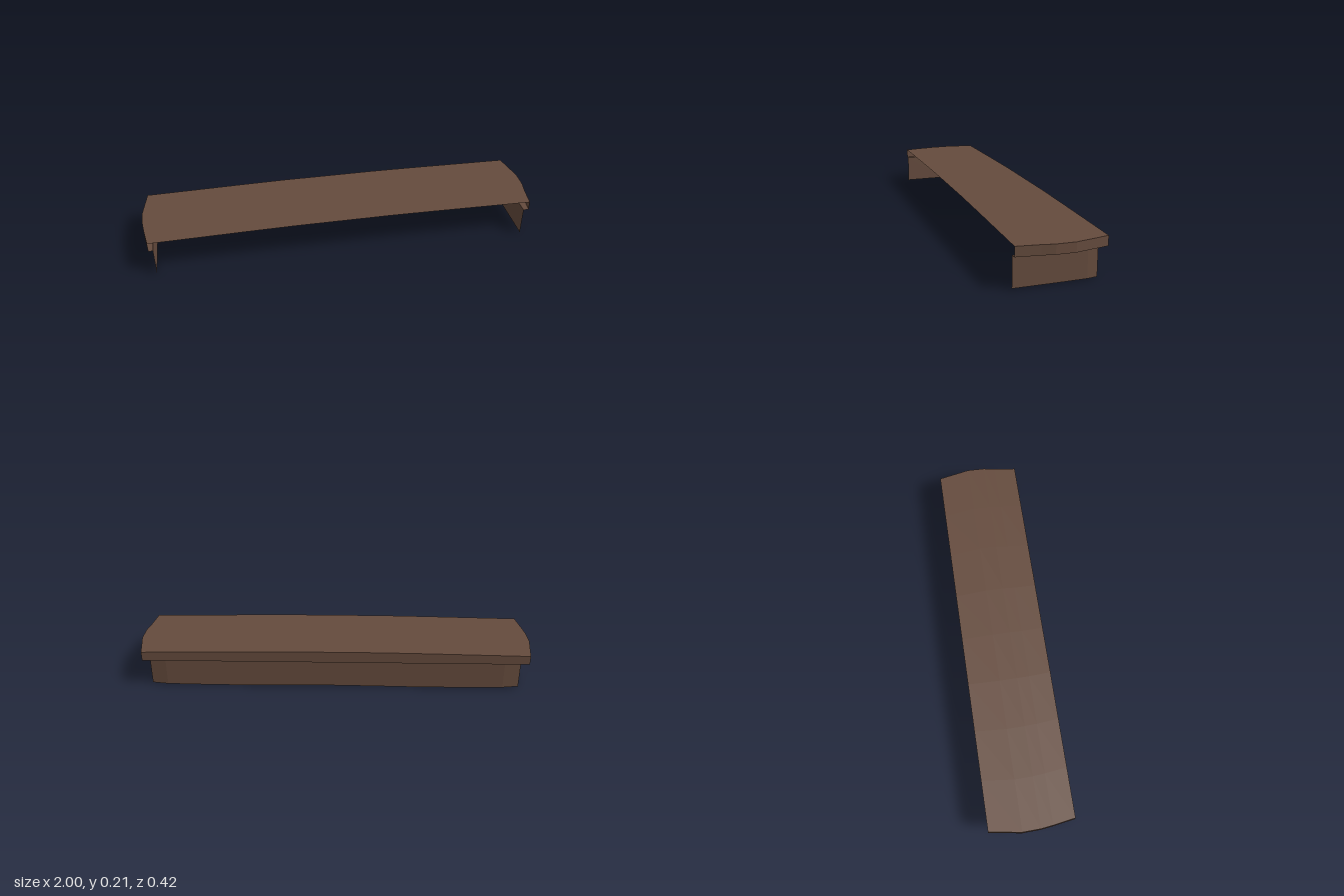
import * as THREE from 'three';

// Flat-shaded sheet spanning rows of [x, y, z] points
function sheet(rows) {
  const pos = [];
  for (let r = 0; r < rows.length - 1; r++) {
    for (let c = 0; c < rows[r].length - 1; c++) {
      const a = rows[r][c], b = rows[r + 1][c];
      const d = rows[r][c + 1], e = rows[r + 1][c + 1];
      pos.push(...a, ...b, ...d, ...b, ...e, ...d);
    }
  }
  const geometry = new THREE.BufferGeometry();
  geometry.setAttribute('position', new THREE.Float32BufferAttribute(pos, 3));
  geometry.computeVertexNormals();
  return geometry;
}

export function createModel() {
  const group = new THREE.Group();
  group.name = 'shelf';
  const wood = new THREE.MeshStandardMaterial({ color: 0x654b3d, side: THREE.DoubleSide });
  wood.name = 'dark brown wood';
  const add = (name, rows) => {
    const mesh = new THREE.Mesh(sheet(rows), wood);
    mesh.name = name;
    group.add(mesh);
  };

  // Bowed ends, from front to back: [x, z]
  const rightEnd = [[0.973, 0.21], [0.987, 0.1], [0.998, 0.04], [1, -0.05], [0.968, -0.21]];
  const leftEnd = rightEnd.map(([x, z]) => [-x, -z]).reverse();
  const columns = [1, 0.75, 0.5, 0.25, 0, -0.25, -0.5, -0.75, -1];

  // Gently crowned top, lip underside and wavy skirt bottom
  const topY = (x) => 0.216 - 0.012 * Math.max(0, (Math.abs(x) - 0.3) / 0.7);
  const lipY = 0.158;
  const skirtY = (x) => 0.0105 + 0.0025 * Math.cos(Math.PI * 2 * x);

  // Top board
  const sections = rightEnd.map(([xr, z], i) => {
    const xl = leftEnd.find((p) => Math.abs(p[1] - z) < 1e-6)?.[0]
      ?? [-0.968, -0.986, -0.994, -0.997, -0.973][i];
    return columns.map((u) => {
      const x = xl + (xr - xl) * (u + 1) / 2;
      return [x, topY(x), z];
    });
  });
  add('topBoard', sections);

  // Lip outline: right end, back edge, left end
  const last = sections.length - 1;
  const outline = [
    ...sections.map((row) => row[0]),
    ...sections[last].slice(1, -1),
    ...sections.map((row) => row[row.length - 1]).reverse(),
  ];
  const lipBottom = outline.map(([x, , z]) => [x, lipY, z]);
  add('lip', [outline, lipBottom]);

  // Skirt outline with softened back corners, open at the front
  const side = [[0.946, 0.21], [0.946, 0], [0.944, -0.13], [0.936, -0.18], [0.855, -0.191]];
  const skirt = [
    ...side,
    ...columns.slice(1, -1).map((u) => [u * 0.855, -0.191]),
    ...side.map(([x, z]) => [-x, z]).reverse(),
  ];
  const skirtTop = skirt.map(([x, z]) => [x, lipY, z]);
  add('ledge', [lipBottom, skirtTop]);
  add('skirt', [skirtTop, skirt.map(([x, z]) => [x, skirtY(x), z])]);

  return group;
}
